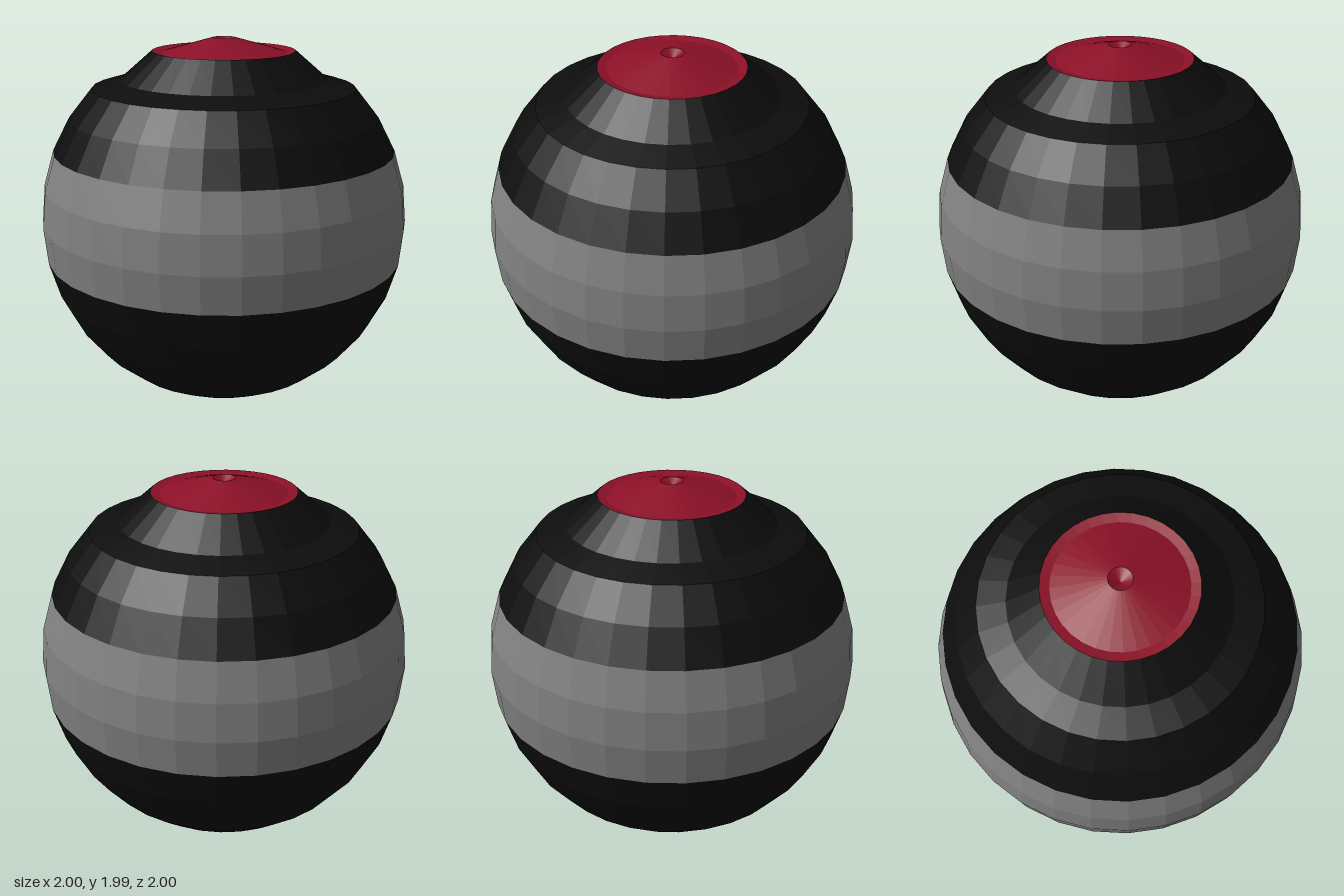
import * as THREE from 'three';

const SEGMENTS = 32;
const CENTER_Y = 1.008;
const STRETCH_Y = 1.02;

const mat = (name, color) => {
  const m = new THREE.MeshStandardMaterial({ color, flatShading: true });
  m.name = name;
  return m;
};

// Profile point on the ball at ring k (0 = equator, 8 = top pole, -8 = bottom pole)
const ring = (k) => {
  const a = (k * Math.PI) / 16;
  return [Math.cos(a), CENTER_Y + STRETCH_Y * Math.sin(a)];
};

const rings = (from, to) =>
  Array.from({ length: to - from + 1 }, (_, i) => ring(from + i));

export function createModel() {
  const black = mat('black shell', 0x0d0d0d);
  const grey = mat('grey band', 0x808080);
  const red = mat('red button', 0x8c1027);

  const group = new THREE.Group();
  group.name = 'bandedBall';

  // Turned part; profiles run from bottom to top so faces point outward
  const turned = (name, profile, material) => {
    const points = profile.map(([r, y]) => new THREE.Vector2(r, y));
    const mesh = new THREE.Mesh(new THREE.LatheGeometry(points, SEGMENTS), material);
    mesh.name = name;
    group.add(mesh);
  };

  // Lower shell with its nearly flat base
  turned('lowerShell', [[0, 0], ...rings(-7, -1)], black);

  // Band around the middle
  turned('middleBand', rings(-1, 2), grey);

  // Upper shell with a shallow shoulder leading to the raised collar
  turned('upperShell', [...rings(2, 4), [0.556, 1.772], [0.383, 1.922]], black);

  // Button: sunken rim, low cone and a small dimple on top
  turned('topButton', [[0.383, 1.922], [0.335, 1.912], [0.06, 1.99], [0, 1.95]], red);

  return group;
}
